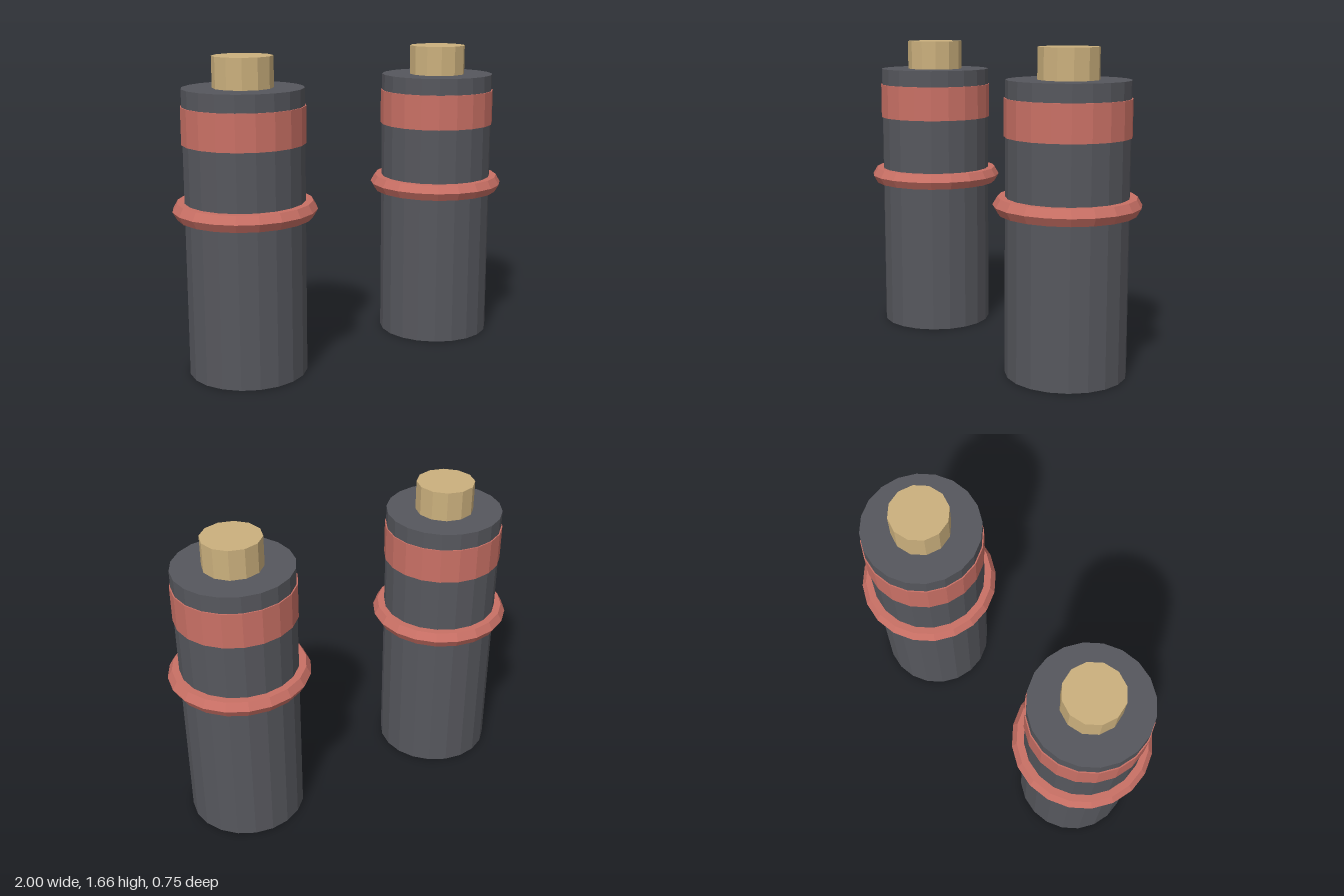
import * as THREE from 'three';

const material = (name, color) => {
  const m = new THREE.MeshStandardMaterial({ color, flatShading: true });
  m.name = name;
  return m;
};

export function createModel() {
  const charcoal = material('charcoal', 0x56575d);
  const coral = material('coral red', 0xc97065);
  const brass = material('brass', 0xcbb07d);

  // Upright cylinder spanning y0 to y1
  const drum = (name, radius, y0, y1, sides, mat) => {
    const mesh = new THREE.Mesh(new THREE.CylinderGeometry(radius, radius, y1 - y0, sides), mat);
    mesh.name = name;
    mesh.position.y = (y0 + y1) / 2;
    return mesh;
  };

  const model = new THREE.Group();
  model.name = 'canisterPair';

  for (const side of [-1, 1]) {
    const canister = new THREE.Group();
    canister.name = side > 0 ? 'leftCanister' : 'rightCanister';
    canister.position.x = side * 0.625;

    // Body, painted band and top knob
    canister.add(
      drum('body', 0.3125, 0, 1.5, 20, charcoal),
      drum('band', 0.319, 1.22, 1.41, 20, coral),
      drum('knob', 0.156, 1.5, 1.66, 12, brass)
    );

    // Six-sided collar ring around the middle
    const ring = new THREE.Mesh(new THREE.TorusGeometry(0.326, 0.049, 6, 20), coral);
    ring.name = 'collarRing';
    ring.rotation.x = Math.PI / 2;
    ring.position.y = 0.877;
    canister.add(ring);

    model.add(canister);
  }
  return model;
}
